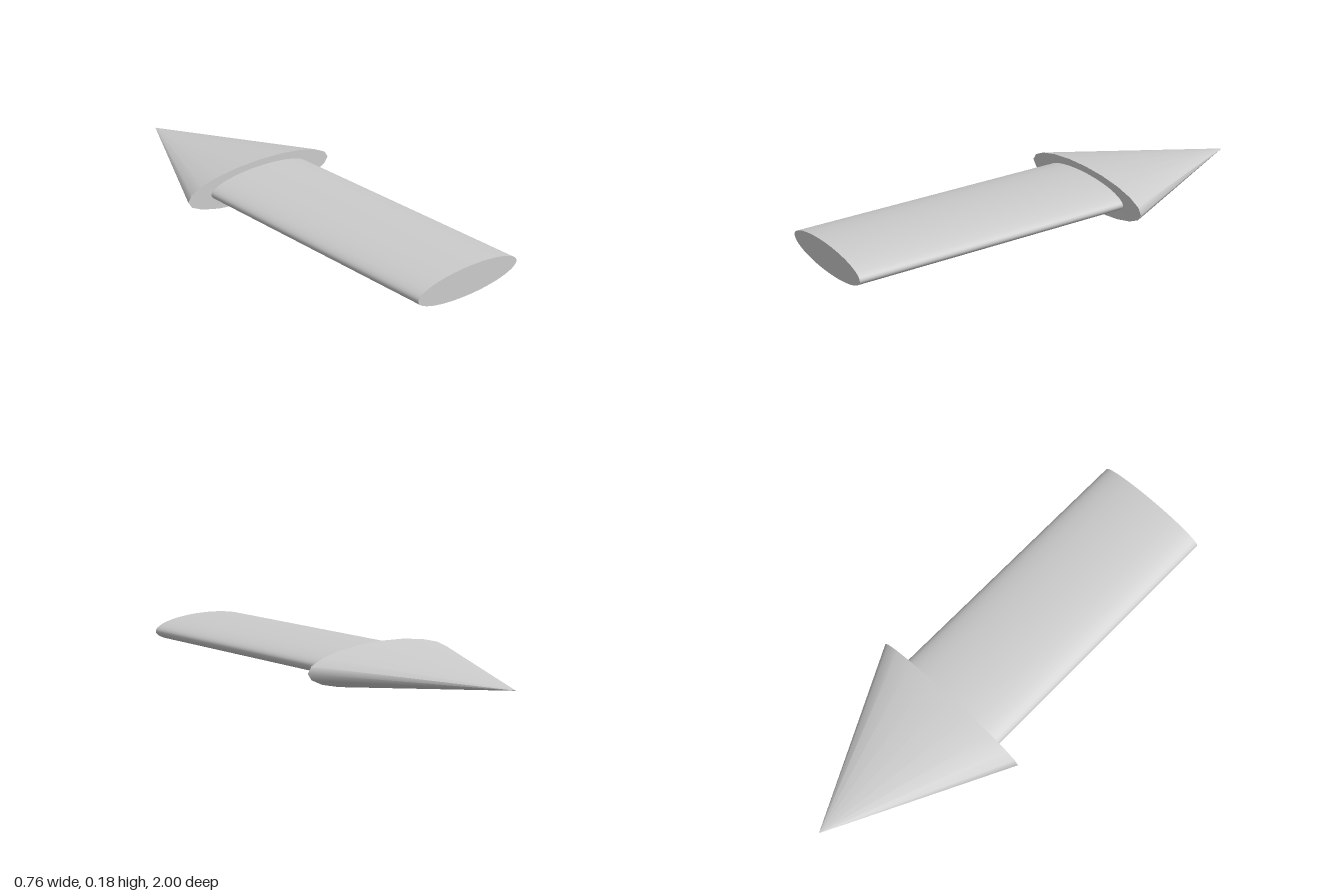
import * as THREE from 'three';

const WIDTH = 0.382, HEIGHT = 0.09; // half-extents of the head's elliptical base
const NECK_Z = -0.24;

export function createModel() {
  const model = new THREE.Group();
  model.name = 'flatArrow';
  const material = new THREE.MeshStandardMaterial({ color: 0xcccccc });

  // Lays a round solid along z (top towards -z) and flattens it to an ellipse
  function addPart(name, geometry, rx, ry, z) {
    geometry.rotateX(-Math.PI / 2);
    geometry.scale(rx, ry, 1);
    const mesh = new THREE.Mesh(geometry, material);
    mesh.name = name;
    mesh.position.set(0, HEIGHT, z);
    model.add(mesh);
  }

  // Shaft: smooth elliptical bar from the front end to the head
  const shaftLength = 1 - NECK_Z;
  addPart('shaft', new THREE.CylinderGeometry(1, 1, shaftLength, 64), 0.262, 0.061, (1 + NECK_Z) / 2);

  // Head: 20-sided flattened cone pointing to the back
  const headLength = 1 + NECK_Z;
  addPart('head', new THREE.ConeGeometry(1, headLength, 20), WIDTH, HEIGHT, (NECK_Z - 1) / 2);

  return model;
}
